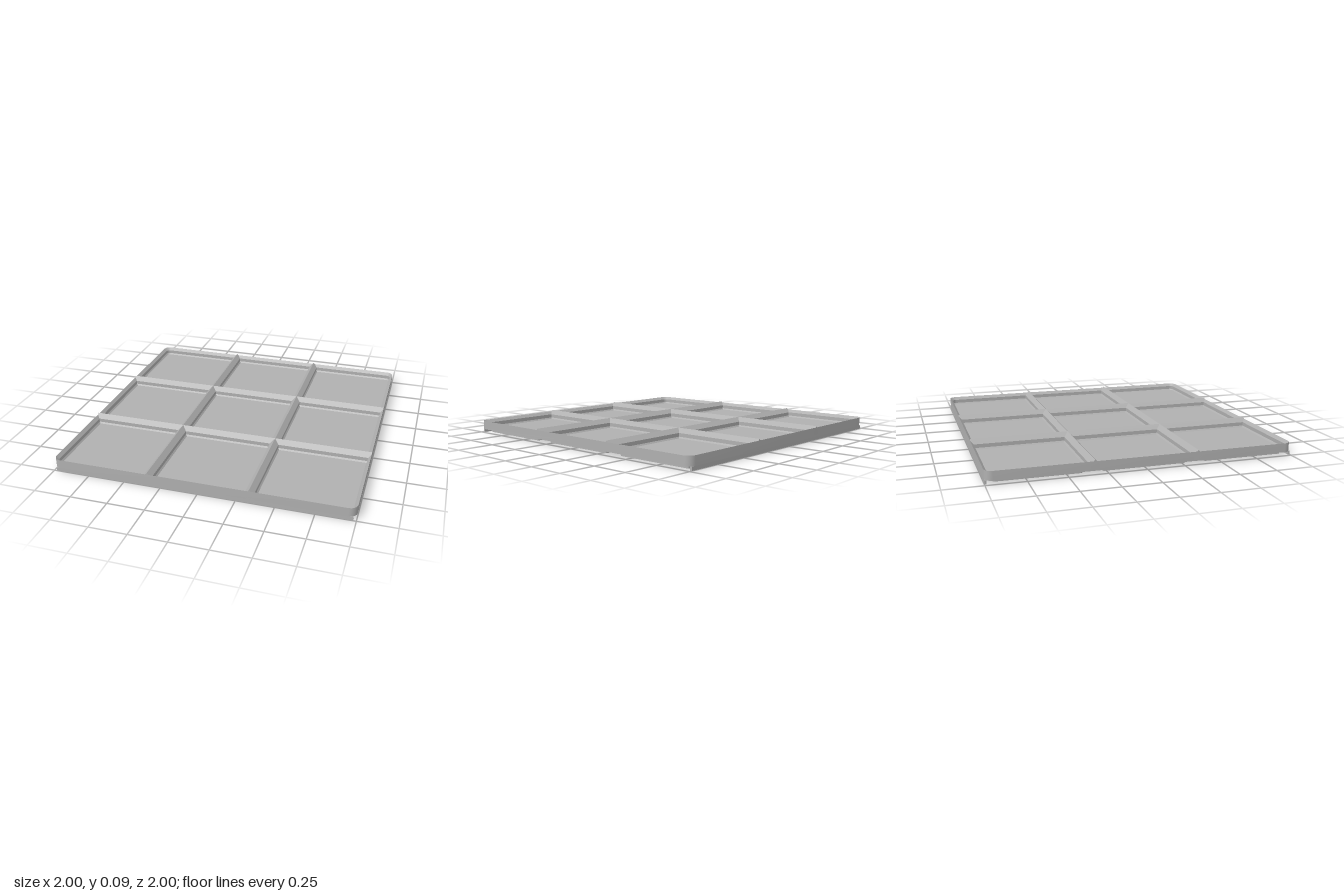
import * as THREE from 'three';
import { toCreasedNormals } from 'three/addons/utils/BufferGeometryUtils.js';

const RIDGE = 0.337, PITCH = 0.673, FLOOR = 0.03, UNDER = 0.025;

// Rounded-square outline in (a, b), as points
function outline(half, radius, steps = 6) {
  const pts = [];
  for (let q = 0; q < 4; q++) {
    const mid = (q + 0.5) * Math.PI / 2;
    const cx = Math.sign(Math.cos(mid)) * (half - radius);
    const cy = Math.sign(Math.sin(mid)) * (half - radius);
    for (let i = 0; i <= steps; i++) {
      const t = (q + i / steps) * Math.PI / 2;
      pts.push(new THREE.Vector2(cx + radius * Math.cos(t), cy + radius * Math.sin(t)));
    }
  }
  return pts;
}

// Skin over stacked rounded-square rings given as [inset, height]
function ringSkin(rings) {
  const pos = [], index = [];
  let n = 0;
  for (const [inset, y] of rings) {
    const pts = outline(1 - inset, 0.05 - inset);
    n = pts.length;
    for (const p of pts) pos.push(p.x, y, p.y);
  }
  for (let r = 0; r < rings.length - 1; r++) {
    for (let i = 0; i < n; i++) {
      const a = r * n + i, b = r * n + (i + 1) % n;
      index.push(a, a + n, b, b, a + n, b + n);
    }
  }
  const g = new THREE.BufferGeometry();
  g.setAttribute('position', new THREE.Float32BufferAttribute(pos, 3));
  g.setIndex(index);
  return toCreasedNormals(g, 0.5);
}

// Flat plate from a plan shape, lying between two heights
function plate(shape, y0, y1) {
  return new THREE.ExtrudeGeometry(shape, { depth: y1 - y0, bevelEnabled: false })
    .rotateX(-Math.PI / 2).translate(0, y0, 0);
}

function slot(x, y, w, h) {
  return new THREE.Path([[-1, -1], [-1, 1], [1, 1], [1, -1]]
    .map(([a, b]) => new THREE.Vector2(x + a * w / 2, y + b * h / 2)));
}

export function createModel() {
  const model = new THREE.Group();
  model.name = 'gridTray';
  const grey = new THREE.MeshStandardMaterial({ color: 0xb0b0b0 });
  grey.name = 'grey';
  const add = (name, geometry) => {
    const mesh = new THREE.Mesh(geometry, grey);
    mesh.name = name;
    model.add(mesh);
    return mesh;
  };

  // Floor and stepped outer rim
  add('floor', plate(new THREE.Shape(outline(0.998, 0.048)), UNDER, FLOOR));
  add('rim', ringSkin([[0, UNDER], [0, 0.085], [0.02, 0.065], [0.02, 0.04], [0.03, FLOOR - 0.001]]));

  // Peaked dividers in both directions
  const profile = new THREE.Shape([
    [-0.04, 0.028], [0.04, 0.028], [0.03, 0.04], [0.03, 0.065],
    [0, 0.095], [-0.03, 0.065], [-0.03, 0.04],
  ].map(([u, y]) => new THREE.Vector2(u, y)));
  const divider = new THREE.ExtrudeGeometry(profile, { depth: 2, bevelEnabled: false }).translate(0, 0, -1);
  for (const s of [-1, 1]) {
    add('lengthwiseDivider', divider).position.x = s * RIDGE;
    const cross = add('crosswiseDivider', divider);
    cross.rotation.y = Math.PI / 2;
    cross.position.z = s * RIDGE;
  }

  // Slotted pads under every cell; one column is turned half round
  const padShape = new THREE.Shape(outline(0.273, 0.01, 2));
  padShape.holes.push(slot(0, -0.225, 0.3, 0.025), slot(-0.19, 0, 0.025, 0.18));
  const pad = plate(padShape, 0, UNDER);
  for (let i = -1; i <= 1; i++) {
    for (let j = -1; j <= 1; j++) {
      const foot = add('footPad', pad);
      foot.position.set(i * PITCH, 0, j * PITCH);
      if (i < 0) foot.rotation.y = Math.PI;
    }
  }

  // Thin rails under the front and back edges
  for (const s of [-1, 1]) {
    add('edgeRail', new THREE.BoxGeometry(1.96, UNDER, 0.012)).position.set(0, UNDER / 2, s * 0.993);
  }
  return model;
}
